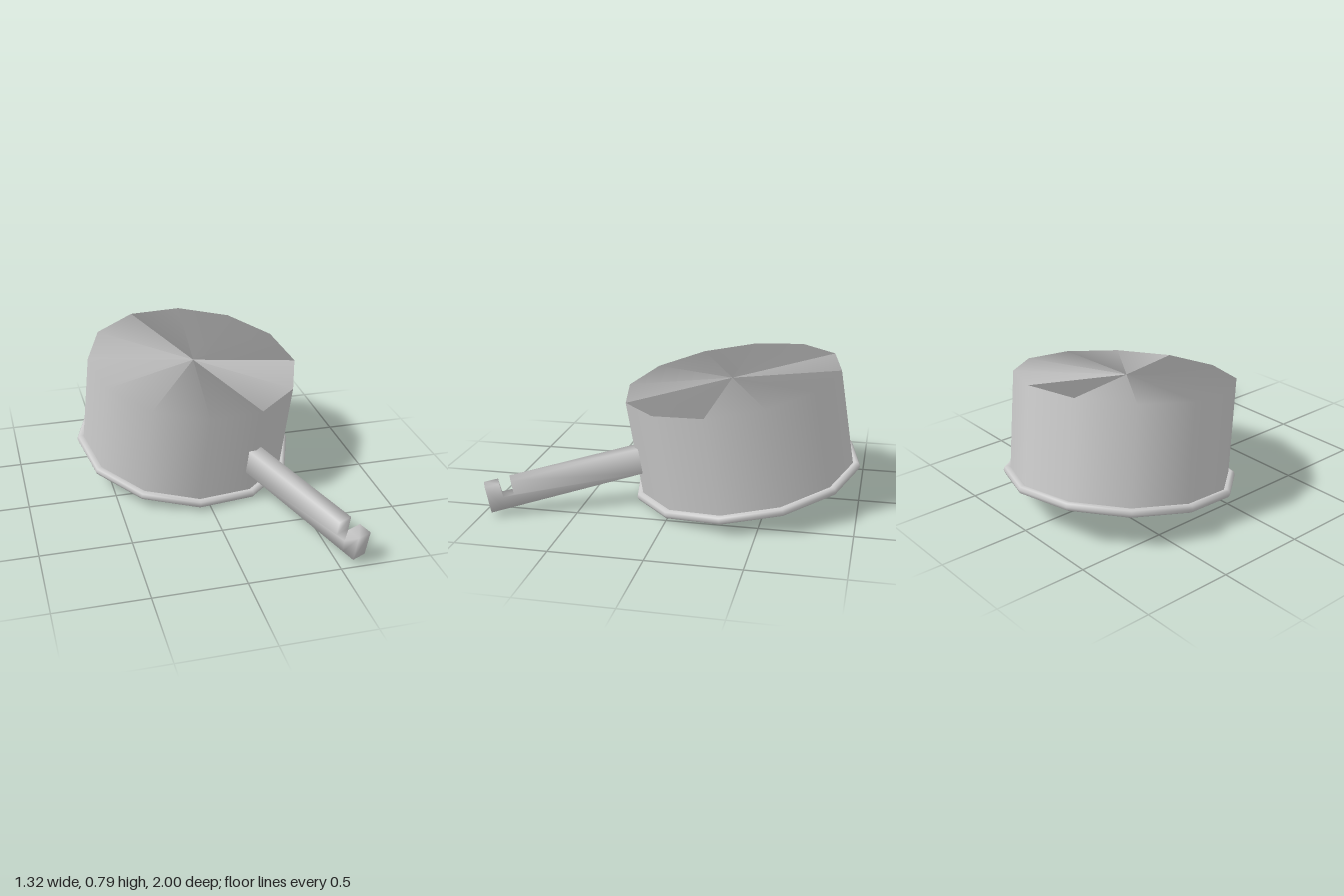
import * as THREE from 'three';
import { mergeVertices } from 'three/addons/utils/BufferGeometryUtils.js';

const SIDES = 12;
const RADIUS = 0.612;
const HEIGHT = 0.556;

const toPoints = (pairs) => pairs.map(([a, b]) => new THREE.Vector2(a, b));

export function createModel() {
  const model = new THREE.Group();
  model.name = 'upturnedSaucepan';
  const material = new THREE.MeshStandardMaterial({ color: 0xcccccc });

  const add = (parent, name, geometry) => {
    const mesh = new THREE.Mesh(geometry, material);
    mesh.name = name;
    parent.add(mesh);
  };

  // The pan leans: its own y axis runs from the rim up to the base
  const tilt = new THREE.Group();
  tilt.name = 'tiltedPan';
  tilt.position.set(-0.012, 0.135, -0.357);
  tilt.quaternion.setFromUnitVectors(
    new THREE.Vector3(0, 1, 0),
    new THREE.Vector3(0.073, 1, 0.154).normalize()
  );
  model.add(tilt);

  // Turned so that the handle runs along the pan's own z axis
  const pan = new THREE.Group();
  pan.name = 'pan';
  pan.rotation.y = THREE.MathUtils.degToRad(25.5);
  tilt.add(pan);

  // Wall and base in one sheet: the upper ring of a tube is drawn in to the
  // axis, so the base keeps the smooth shading of the wall
  const body = new THREE.CylinderGeometry(RADIUS, RADIUS, HEIGHT * 2, SIDES, 2, true);
  const pos = body.attributes.position;
  for (let i = 0; i < pos.count; i++) {
    if (pos.getY(i) > HEIGHT / 2) pos.setXYZ(i, 0, HEIGHT, 0);
    else if (pos.getY(i) > -HEIGHT / 2) pos.setY(i, HEIGHT);
    else pos.setY(i, 0);
  }
  add(pan, 'body', body);

  // Rolled rim, bulging outwards from the wall
  add(pan, 'rim', new THREE.LatheGeometry(toPoints([
    [0.618, -0.024], [0.628, -0.031], [0.642, -0.024], [0.65, -0.006],
    [0.643, 0.011], [0.628, 0.017], [0.61, 0.012],
  ]), SIDES));

  // Flat underside, set just inside the lower edge of the rim
  const underside = new THREE.CircleGeometry(0.62, SIDES);
  underside.rotateX(Math.PI / 2);
  underside.translate(0, -0.024, 0);
  add(pan, 'underside', underside);

  // Handle: side profile (distance from axis, height) with a notch before the end
  const profile = new THREE.Shape(toPoints([
    [0.57, 0.145], [1.375, 0.137], [1.45, 0.136], [1.453, 0.286], [1.375, 0.286],
    [1.37, 0.207], [1.312, 0.207], [1.312, 0.288], [0.57, 0.291],
  ]));
  const width = 0.088;
  const bar = new THREE.ExtrudeGeometry(profile, { depth: width, bevelEnabled: false });
  bar.translate(0, 0, -width / 2);
  bar.rotateY(-Math.PI / 2);

  // Shared corners give the handle its soft shading
  bar.deleteAttribute('normal');
  bar.deleteAttribute('uv');
  const handle = mergeVertices(bar);
  handle.computeVertexNormals();
  add(pan, 'handle', handle);

  return model;
}
